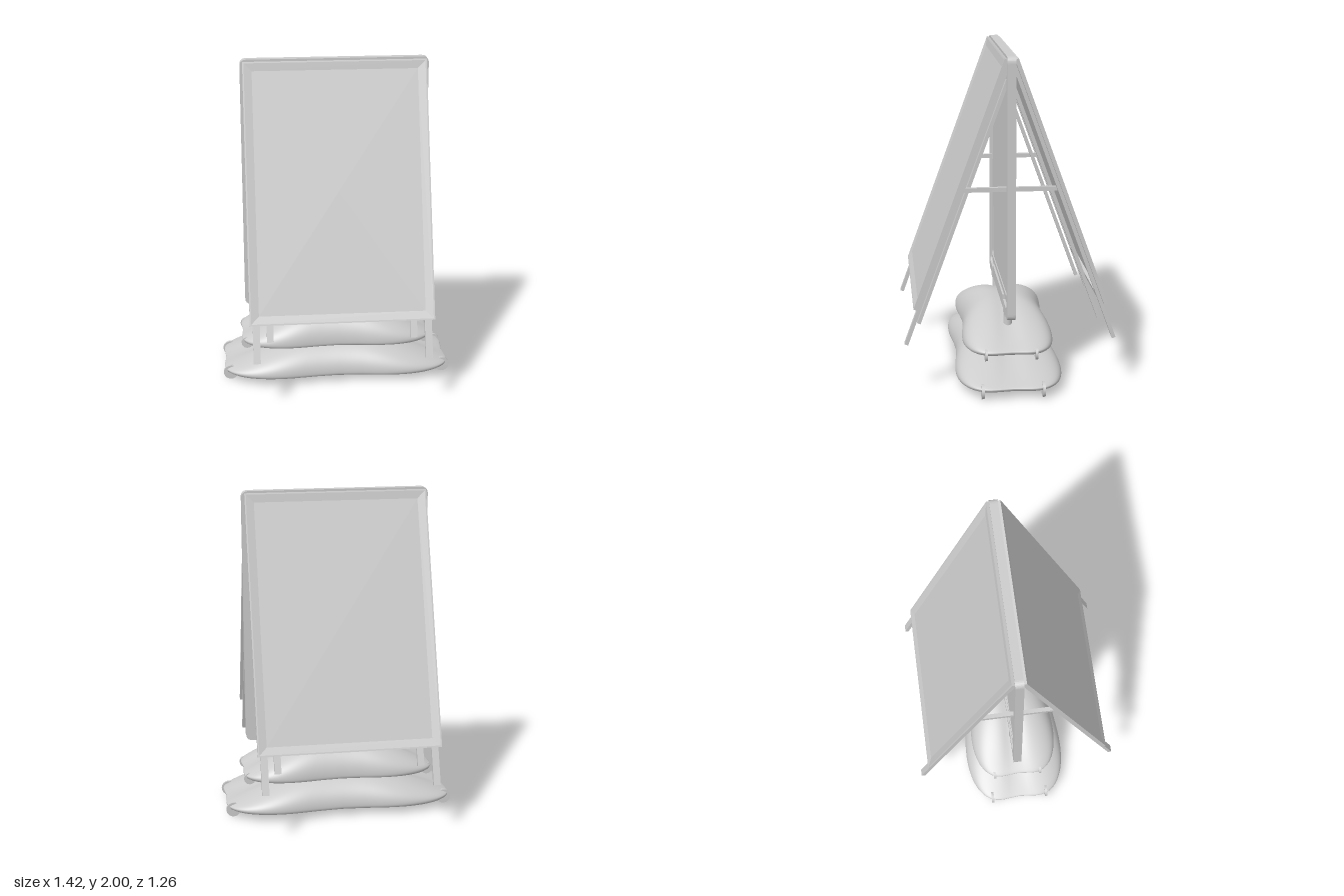
import * as THREE from 'three';

const material = new THREE.MeshStandardMaterial({ color: 0xcccccc });

function add(parent, name, geometry, x = 0, y = 0, z = 0) {
  const mesh = new THREE.Mesh(geometry, material);
  mesh.name = name;
  mesh.position.set(x, y, z);
  parent.add(mesh);
  return mesh;
}
const box = (w, h, d) => new THREE.BoxGeometry(w, h, d);

// Rounded rectangle outline centred on the origin
function roundedRect(w, h, r, Type = THREE.Shape) {
  const s = new Type(), x = w / 2, y = h / 2;
  s.moveTo(-x + r, -y);
  s.lineTo(x - r, -y); s.quadraticCurveTo(x, -y, x, -y + r);
  s.lineTo(x, y - r); s.quadraticCurveTo(x, y, x - r, y);
  s.lineTo(-x + r, y); s.quadraticCurveTo(-x, y, -x, y - r);
  s.lineTo(-x, -y + r); s.quadraticCurveTo(-x, -y, -x + r, -y);
  return s;
}

// Rounded frame (or plate when there is no border), centred in depth
function framePlate(w, h, r, depth, border = 0) {
  const shape = roundedRect(w, h, r);
  if (border) shape.holes.push(roundedRect(w - 2 * border, h - 2 * border, r, THREE.Path));
  return new THREE.ExtrudeGeometry(shape, { depth, bevelEnabled: false, curveSegments: 8 })
    .translate(0, 0, -depth / 2);
}

// Poster board made of nested rectangles: flat back, rim and sloping border
function posterBoard(w, h, depth) {
  const rings = [[0, -depth], [1, -depth], [1, 0], [0.984, 0], [0.9, -0.008], [0, -0.008]];
  const pos = [], index = [];
  rings.forEach(([s, z]) => {
    const inset = s === 0 ? w / 2 : (1 - s) * w / 2;
    const x = w / 2 - inset, y = s === 0 ? 0 : h / 2 - inset;
    pos.push(-x, -y, z, x, -y, z, x, y, z, -x, y, z);
  });
  for (let k = 0; k < rings.length - 1; k++) {
    for (let i = 0; i < 4; i++) {
      const a = k * 4 + i, b = k * 4 + (i + 1) % 4;
      index.push(a, b, b + 4, a, b + 4, a + 4);
    }
  }
  const g = new THREE.BufferGeometry();
  g.setAttribute('position', new THREE.Float32BufferAttribute(pos, 3));
  g.setIndex(index);
  const flat = g.toNonIndexed();
  flat.computeVertexNormals();
  return flat;
}

// Domed water-filled foot with a waisted outline and a groove along its length
function footGeometry(a, b, height) {
  const seg = 96, rings = [], pos = [], index = [];
  for (let k = 0; k <= 24; k++) rings.push({ r: Math.sin(k / 24 * Math.PI / 2), top: true });
  rings.push({ r: 0.995, y: 0.008 }, { r: 0.975, y: 0 }, { r: 0.96, y: 0 }, { r: 0, y: 0 });
  const pow = (v, p) => Math.sign(v) * Math.abs(v) ** p;
  for (const ring of rings) {
    for (let i = 0; i < seg; i++) {
      const t = i / seg * Math.PI * 2;
      const ox = pow(Math.cos(t), 0.58), oz = pow(Math.sin(t), 0.58);
      const x = ring.r * a * ox * (1 - 0.035 * Math.exp(-((oz / 0.35) ** 2)));
      const z = ring.r * b * oz * (1 - 0.15 * Math.exp(-((ox / 0.45) ** 2)));
      let y = ring.y;
      if (ring.top) {
        const u = x / a;
        const dome = Math.sqrt(Math.max(0, 1 - ring.r ** 2.6));
        const groove = 1 - (0.07 + 0.16 * u * u) * Math.exp(-((z / 0.06) ** 2));
        y = 0.018 + (height - 0.018) * (1 - 0.8 * u * u) * dome * groove;
      }
      pos.push(x, y, z);
    }
  }
  for (let k = 0; k < rings.length - 1; k++) {
    for (let i = 0; i < seg; i++) {
      const p = k * seg + i, q = k * seg + (i + 1) % seg;
      index.push(p, q, q + seg, p, q + seg, p + seg);
    }
  }
  const g = new THREE.BufferGeometry();
  g.setAttribute('position', new THREE.Float32BufferAttribute(pos, 3));
  g.setIndex(index);
  g.computeVertexNormals();
  return g;
}

// Weighted foot together with its four thin disc feet
function makeFoot(name, a, b, y, height, discX, discZ, discR) {
  const foot = new THREE.Group();
  foot.name = name;
  add(foot, 'footBody', footGeometry(a, b, height), 0, y, 0);
  for (const sx of [-1, 1]) for (const sz of [-1, 1]) {
    const disc = new THREE.CylinderGeometry(discR, discR, 0.016, 24).rotateX(Math.PI / 2);
    add(foot, 'discFoot', disc, sx * discX, y, sz * discZ);
  }
  return foot;
}

// Sloping leaf: board, outer legs and a second inner frame behind it
function makeLeaf(name) {
  const leaf = new THREE.Group();
  leaf.name = name;
  const tilt = new THREE.Group();
  tilt.position.set(0, 1.99, 0.04);
  tilt.rotation.x = -0.351;
  leaf.add(tilt);
  add(tilt, 'posterBoard', posterBoard(1.1, 1.555, 0.023), 0, -0.7775, 0);
  for (const s of [-1, 1]) {
    add(tilt, 'outerLeg', box(0.042, 1.75, 0.022), s * 0.512, -0.905, -0.035);
    add(tilt, 'innerLeg', box(0.04, 1.54, 0.021), s * 0.43, -0.89, -0.0745);
  }
  add(tilt, 'lowerRail', box(0.98, 0.04, 0.02), 0, -1.5, -0.035);
  add(tilt, 'innerRail', box(0.86, 0.04, 0.018), 0, -0.16, -0.0745);
  return leaf;
}

export function createModel() {
  const model = new THREE.Group();
  model.name = 'pavementSign';

  // Two stacked feet
  model.add(makeFoot('lowerFoot', 0.72, 0.345, 0.05, 0.2, 0.667, 0.18, 0.045));
  model.add(makeFoot('upperFoot', 0.605, 0.295, 0.235, 0.215, 0.56, 0.15, 0.036));

  // Upright centre panel
  const panel = new THREE.Group();
  panel.name = 'centrePanel';
  panel.position.y = 1.22;
  add(panel, 'panelFrame', framePlate(1.13, 1.56, 0.04, 0.05, 0.055));
  add(panel, 'panelSheet', framePlate(1.05, 1.48, 0.03, 0.022));
  add(panel, 'panelTrim', framePlate(0.96, 1.39, 0.04, 0.034, 0.03));
  add(panel, 'lowerPlate', box(0.62, 0.05, 0.056), 0, -0.72, 0);
  model.add(panel);

  // Posts joining the panel to the upper foot
  for (const s of [-1, 1]) {
    add(model, 'post', new THREE.CylinderGeometry(0.027, 0.027, 0.14, 20), s * 0.35, 0.42, 0);
    add(model, 'postBracket', box(0.1, 0.03, 0.05), s * 0.37, 0.435, 0);
  }

  // Front and back leaves
  const back = makeLeaf('backLeaf');
  back.rotation.y = Math.PI;
  model.add(makeLeaf('frontLeaf'), back);

  // Struts tying the leaves together
  for (const s of [-1, 1]) add(model, 'strut', box(0.025, 0.026, 0.57), s * 0.47, 1.22, 0);

  return model;
}
